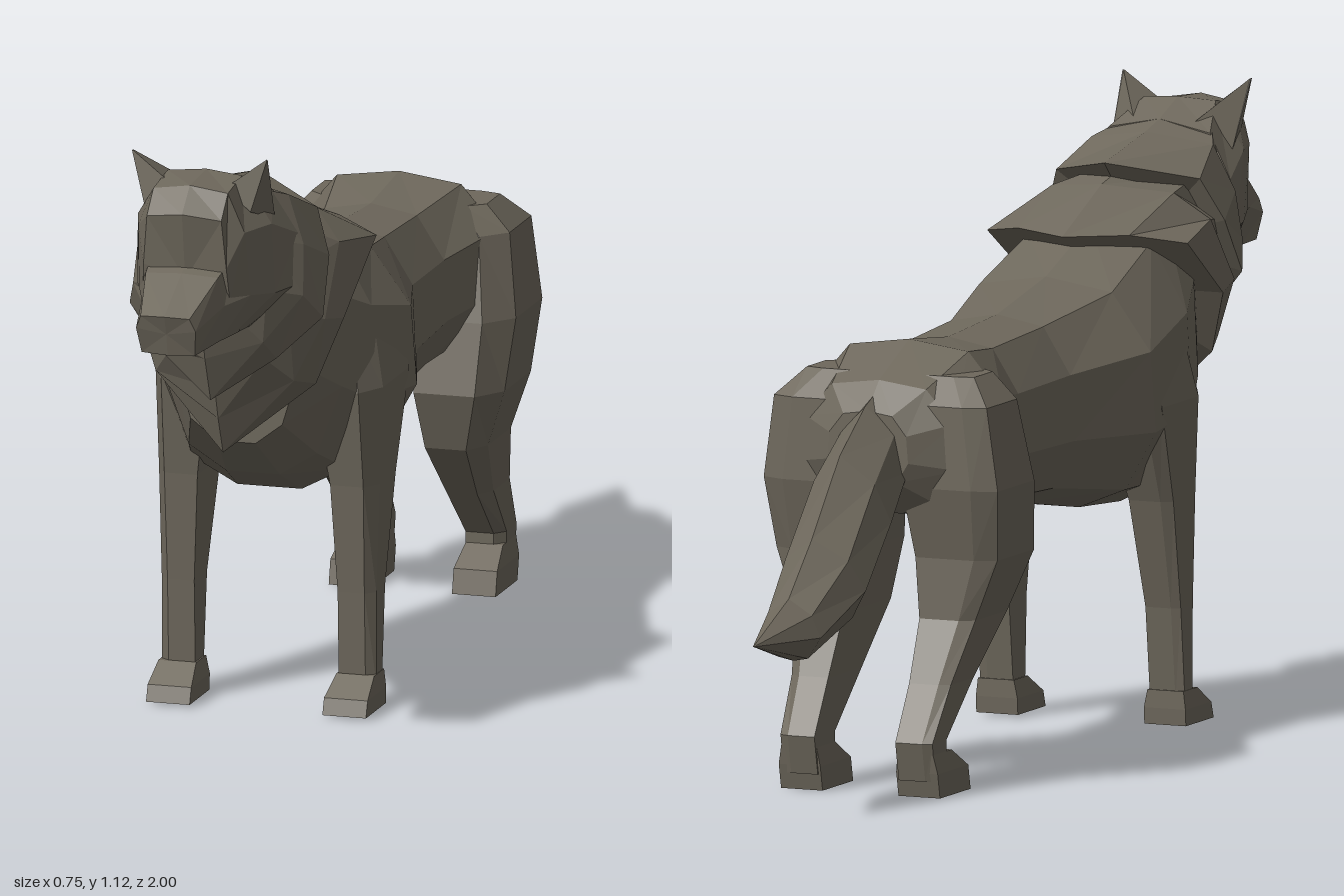
import * as THREE from 'three';

const fur = new THREE.MeshStandardMaterial({ color: 0x6e685c, flatShading: true });
fur.name = 'greyBrownFur';

// Closed, faceted skin through rings of equal point count; faces are turned outward by volume sign.
function loft(name, rings) {
  const n = rings[0].length;
  const tris = [];
  for (let r = 0; r < rings.length - 1; r++) {
    for (let i = 0; i < n; i++) {
      const j = (i + 1) % n;
      const [a, b, c, d] = [rings[r][i], rings[r][j], rings[r + 1][j], rings[r + 1][i]];
      tris.push([a, b, c], [a, c, d]);
    }
  }
  const cap = (ring, flip) => {
    const mid = [0, 1, 2].map(k => ring.reduce((s, p) => s + p[k], 0) / n);
    for (let i = 0; i < n; i++) {
      const a = ring[i], b = ring[(i + 1) % n];
      tris.push(flip ? [mid, b, a] : [mid, a, b]);
    }
  };
  cap(rings[0], true);
  cap(rings[rings.length - 1], false);
  let volume = 0;
  for (const [a, b, c] of tris) {
    volume += new THREE.Vector3(...a).dot(new THREE.Vector3(...b).cross(new THREE.Vector3(...c)));
  }
  if (volume < 0) tris.forEach(t => t.reverse());
  const geometry = new THREE.BufferGeometry();
  geometry.setAttribute('position', new THREE.Float32BufferAttribute(tris.flat(2), 3));
  geometry.computeVertexNormals();
  const mesh = new THREE.Mesh(geometry, fur);
  mesh.name = name;
  return mesh;
}

// Half outline from top centre to bottom centre, mirrored into a full ring.
const mirrorRing = half =>
  [...half, ...half.slice(1, -1).reverse().map(([x, y, z]) => [-x, y, z])];

// Torso section: z, back height, belly height, half width.
const torsoRing = ([z, top, bottom, w]) => mirrorRing(
  [[0, 0], [0.6, 0.05], [0.95, 0.3], [1, 0.65], [0.72, 0.91], [0.3, 1], [0, 1]]
    .map(([u, v]) => [u * w, top + (bottom - top) * v, z]));

// Tail section between a top and a bottom point.
const tailRing = ([zt, yt, zb, yb, w]) => mirrorRing(
  [[0, 0], [0.75, 0.25], [1, 0.6], [0.5, 0.95], [0, 1]]
    .map(([u, v]) => [u * w, yt + (yb - yt) * v, zt + (zb - zt) * v]));

// Horizontal leg section: height, inner x, outer x, front z, back z.
const legRing = side => ([y, xi, xo, zf, zb]) => {
  const xm = xo - (xo - xi) * 0.25, at = t => zf + (zb - zf) * t;
  return [[xi, zf], [xm, zf], [xo, at(0.25)], [xo, at(0.92)], [xm, zb], [xi, zb]]
    .map(([x, z]) => [side * x, y, z]);
};

// Paw section: plain rectangle.
const pawRing = side => ([y, xi, xo, zf, zb]) =>
  [[xi, zf], [xo, zf], [xo, zb], [xi, zb]].map(([x, z]) => [side * x, y, z]);

export function createModel() {
  const model = new THREE.Group();
  model.name = 'wolf';

  // Torso, rump to chest
  model.add(loft('torso', [
    [-0.56, 0.69, 0.55, 0.08], [-0.51, 0.74, 0.5, 0.155], [-0.38, 0.797, 0.48, 0.195],
    [-0.21, 0.778, 0.46, 0.145], [0, 0.79, 0.45, 0.152], [0.21, 0.83, 0.415, 0.218],
    [0.4, 0.9, 0.4, 0.202], [0.5, 0.94, 0.45, 0.168], [0.6, 0.96, 0.53, 0.12]
  ].map(torsoRing)));

  // Shoulder mane: small ring under the collar, flared ring with points behind and below
  model.add(loft('shoulderMane', [
    [[0, 1, 0.62], [0.1, 0.96, 0.64], [0.13, 0.88, 0.67], [0.13, 0.8, 0.7], [0.09, 0.72, 0.72], [0, 0.66, 0.73]],
    [[0, 0.965, 0.45], [0.12, 0.95, 0.5], [0.175, 0.9, 0.54], [0.178, 0.78, 0.635], [0.13, 0.67, 0.67], [0, 0.6, 0.71]],
    [[0, 0.892, 0.28], [0.11, 0.895, 0.33], [0.198, 0.878, 0.389], [0.19, 0.765, 0.56], [0.15, 0.65, 0.6], [0, 0.53, 0.68]]
  ].map(mirrorRing)));

  // Neck collar around the back of the head
  model.add(loft('neckMane', [
    [[0, 1.06, 0.74], [0.085, 1.04, 0.74], [0.11, 0.95, 0.75], [0.11, 0.86, 0.77], [0.06, 0.81, 0.79], [0, 0.8, 0.81]],
    [[0, 1.035, 0.64], [0.12, 1.015, 0.67], [0.155, 0.93, 0.69], [0.16, 0.84, 0.71], [0.1, 0.76, 0.76], [0, 0.73, 0.79]],
    [[0, 1.002, 0.462], [0.142, 0.968, 0.565], [0.175, 0.89, 0.6], [0.182, 0.79, 0.66], [0.11, 0.72, 0.71], [0, 0.645, 0.755]]
  ].map(mirrorRing)));

  // Head with a flat brow and cheeks widening into the collar
  model.add(loft('head', [
    [[0, 1.05, 0.7], [0.1, 1.03, 0.7], [0.145, 0.95, 0.69], [0.155, 0.86, 0.69], [0.08, 0.79, 0.74], [0, 0.785, 0.76]],
    [[0, 1.08, 0.78], [0.07, 1.075, 0.79], [0.126, 0.99, 0.79], [0.13, 0.86, 0.78], [0.08, 0.795, 0.8], [0, 0.795, 0.81]],
    [[0, 1.073, 0.88], [0.07, 1.062, 0.875], [0.1, 0.99, 0.87], [0.105, 0.87, 0.85], [0.075, 0.798, 0.86], [0, 0.798, 0.87]],
    [[0, 1.03, 0.928], [0.07, 1.02, 0.915], [0.078, 0.93, 0.91], [0.082, 0.865, 0.9], [0.068, 0.8, 0.9], [0, 0.8, 0.9]]
  ].map(mirrorRing)));

  // Muzzle
  model.add(loft('muzzle', [
    [[0, 0.945, 0.86], [0.075, 0.94, 0.86], [0.105, 0.87, 0.85], [0.08, 0.798, 0.84], [0, 0.798, 0.84]],
    [[0, 0.922, 0.93], [0.068, 0.918, 0.928], [0.078, 0.865, 0.92], [0.065, 0.796, 0.91], [0, 0.795, 0.91]],
    [[0, 0.866, 1.035], [0.046, 0.864, 1.03], [0.056, 0.84, 1.025], [0.05, 0.792, 1.01], [0, 0.79, 1.014]]
  ].map(mirrorRing)));

  // Bushy tail hanging to a point
  model.add(loft('tail', [
    [-0.46, 0.745, -0.44, 0.56, 0.06], [-0.57, 0.7, -0.52, 0.5, 0.07],
    [-0.68, 0.625, -0.6, 0.42, 0.08], [-0.8, 0.49, -0.71, 0.33, 0.082],
    [-0.9, 0.395, -0.88, 0.28, 0.058], [-1.05, 0.33, -1.05, 0.328, 0.002]
  ].map(tailRing)));

  for (const side of [1, -1]) {
    const label = side > 0 ? 'left' : 'right';
    const leg = legRing(side), paw = pawRing(side);

    // Ear
    model.add(loft(label + 'Ear', [
      [[0.05, 1.06, 0.83], [0.1, 1.02, 0.835], [0.12, 0.99, 0.75], [0.06, 1.045, 0.72]],
      [[0.125, 1.115, 0.822], [0.127, 1.115, 0.822], [0.127, 1.115, 0.818], [0.125, 1.115, 0.818]]
    ].map(ring => ring.map(([x, y, z]) => [side * x, y, z]))));

    // Front leg from shoulder to ankle
    model.add(loft(label + 'FrontLeg', [
      [0.72, 0.09, 0.19, 0.43, 0.24], [0.6, 0.1, 0.214, 0.46, 0.225], [0.42, 0.125, 0.208, 0.435, 0.295],
      [0.22, 0.135, 0.202, 0.422, 0.345], [0.05, 0.135, 0.202, 0.415, 0.365]
    ].map(leg)));
    model.add(loft(label + 'FrontPaw', [
      [0.005, 0.125, 0.207, 0.482, 0.362], [0.035, 0.125, 0.207, 0.472, 0.36], [0.068, 0.132, 0.203, 0.42, 0.36]
    ].map(paw)));

    // Hind leg: broad thigh, bent hock
    model.add(loft(label + 'HindLeg', [
      [0.748, 0.02, 0.165, -0.35, -0.47], [0.7, 0.04, 0.21, -0.325, -0.52], [0.55, 0.05, 0.231, -0.285, -0.522],
      [0.42, 0.065, 0.218, -0.258, -0.495], [0.31, 0.075, 0.178, -0.295, -0.5],
      [0.2, 0.08, 0.157, -0.41, -0.555], [0.1, 0.08, 0.15, -0.525, -0.615], [0.03, 0.08, 0.15, -0.525, -0.6]
    ].map(leg)));
    model.add(loft(label + 'HindPaw', [
      [0, 0.075, 0.157, -0.458, -0.59], [0.045, 0.075, 0.157, -0.468, -0.6], [0.08, 0.08, 0.15, -0.525, -0.605]
    ].map(paw)));
  }

  // The whole animal stands slightly turned
  model.rotation.y = -0.308;
  const root = new THREE.Group();
  root.name = 'turnedWolf';
  root.add(model);
  return root;
}
